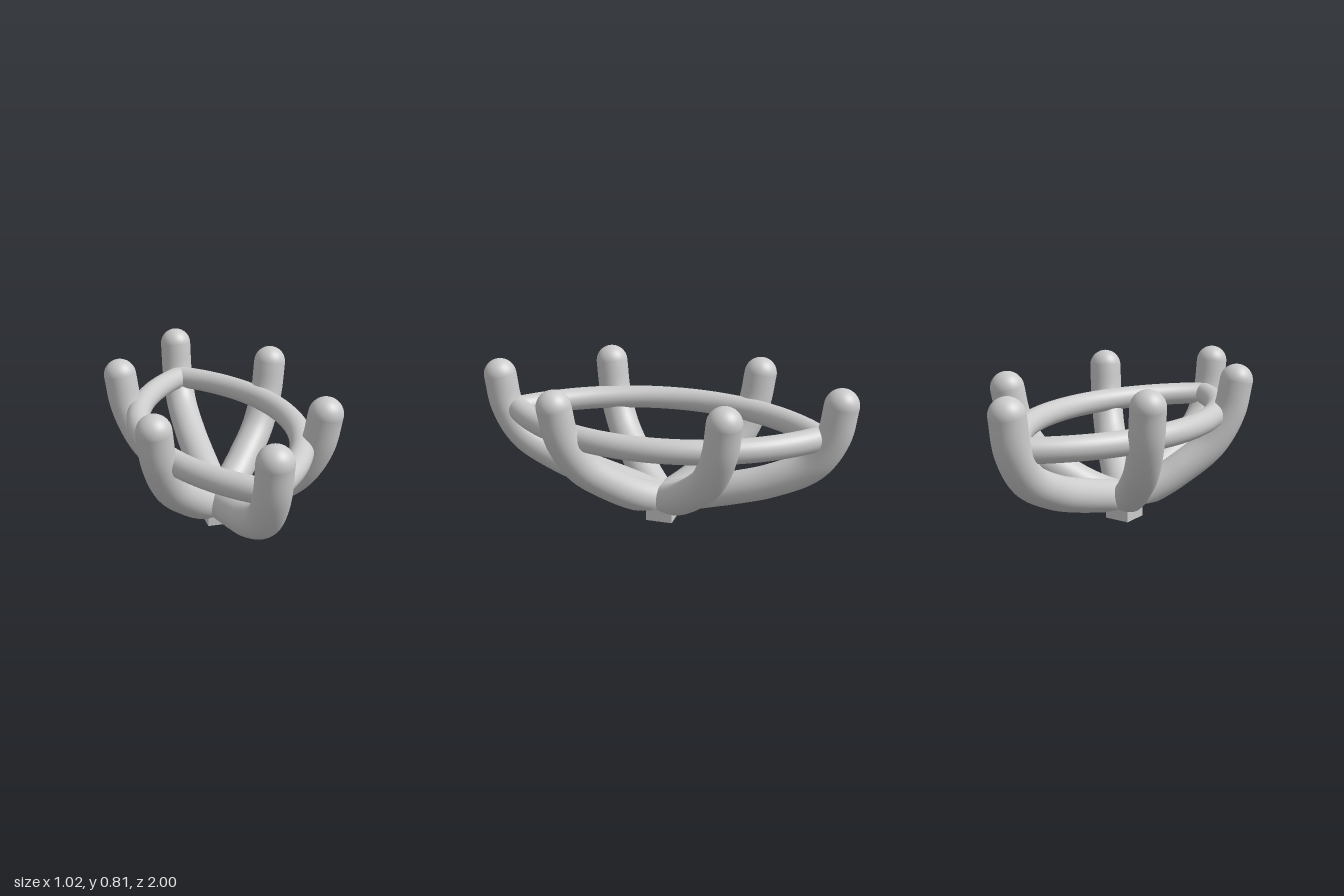
import * as THREE from 'three';
import { toCreasedNormals } from 'three/addons/utils/BufferGeometryUtils.js';

const PRONG_R = 0.087, RAIL_R = 0.062, FLOOR = 0.086;
const material = new THREE.MeshStandardMaterial({ color: 0xcccccc, side: THREE.DoubleSide });

function add(parent, name, geometry) {
  const mesh = new THREE.Mesh(geometry, material);
  mesh.name = name;
  parent.add(mesh);
  return mesh;
}

// Round prong: [distance from centre, height] profile swept outward at an angle about y
function makeProng(name, profile, angle) {
  const prong = new THREE.Group();
  prong.name = name;
  const curve = new THREE.CatmullRomCurve3(profile.map(([d, y]) => new THREE.Vector3(0, y, d)));
  const tube = new THREE.TubeGeometry(curve, 56, PRONG_R, 36);
  // Flatten the underside where it meets the post
  const p = tube.attributes.position;
  for (let i = 0; i < p.count; i++) p.setY(i, Math.max(p.getY(i), FLOOR));
  add(prong, 'prongShaft', toCreasedNormals(tube, 0.5));
  // Domed tip aligned with the end of the shaft
  const tip = add(prong, 'prongTip', new THREE.SphereGeometry(PRONG_R, 36, 14, 0, Math.PI * 2, 0, Math.PI / 2));
  tip.position.copy(curve.getPoint(1));
  tip.quaternion.setFromUnitVectors(new THREE.Vector3(0, 1, 0), curve.getTangent(1));
  prong.rotation.y = angle;
  return prong;
}

export function createModel() {
  const model = new THREE.Group();
  model.name = 'prongSetting';

  // Square post underneath
  add(model, 'post', new THREE.BoxGeometry(0.14, 0.09, 0.142)).position.y = 0.045;

  // Long prongs at the two points
  const longProfile = [[0, 0.11], [0.22, 0.173], [0.4, 0.222], [0.58, 0.282], [0.785, 0.395], [0.882, 0.55], [0.913, 0.72]];
  add.call(null, model, 'frontProng', new THREE.BufferGeometry()).removeFromParent();
  model.add(makeProng('frontProng', longProfile, 0));
  model.add(makeProng('backProng', longProfile, Math.PI));

  // Four shorter diagonal prongs
  const sideProfile = [[0, 0.1], [0.17, 0.172], [0.3, 0.25], [0.465, 0.38], [0.565, 0.55], [0.602, 0.72]];
  for (const sx of [1, -1]) for (const sz of [1, -1]) {
    const name = (sz > 0 ? 'front' : 'back') + (sx > 0 ? 'Left' : 'Right') + 'Prong';
    model.add(makeProng(name, sideProfile, Math.atan2(sx, sz)));
  }

  // Two bowed rails forming the pointed oval gallery
  const halfLength = 0.82, halfWidth = 0.398;
  const R = (halfWidth ** 2 + halfLength ** 2) / (2 * halfWidth);
  const sweep = Math.asin(halfLength / R);
  for (const s of [1, -1]) {
    const points = [];
    for (let i = 0; i <= 24; i++) {
      const a = sweep * (i / 12 - 1);
      points.push(new THREE.Vector3(s * (R * Math.cos(a) - R + halfWidth), 0.54, R * Math.sin(a)));
    }
    add(model, s > 0 ? 'leftRail' : 'rightRail',
      new THREE.TubeGeometry(new THREE.CatmullRomCurve3(points), 80, RAIL_R, 28));
    // Rounded joints where the rails meet
    add(model, s > 0 ? 'frontRailJoint' : 'backRailJoint', new THREE.SphereGeometry(RAIL_R, 28, 16))
      .position.set(0, 0.54, s * halfLength);
  }
  return model;
}
